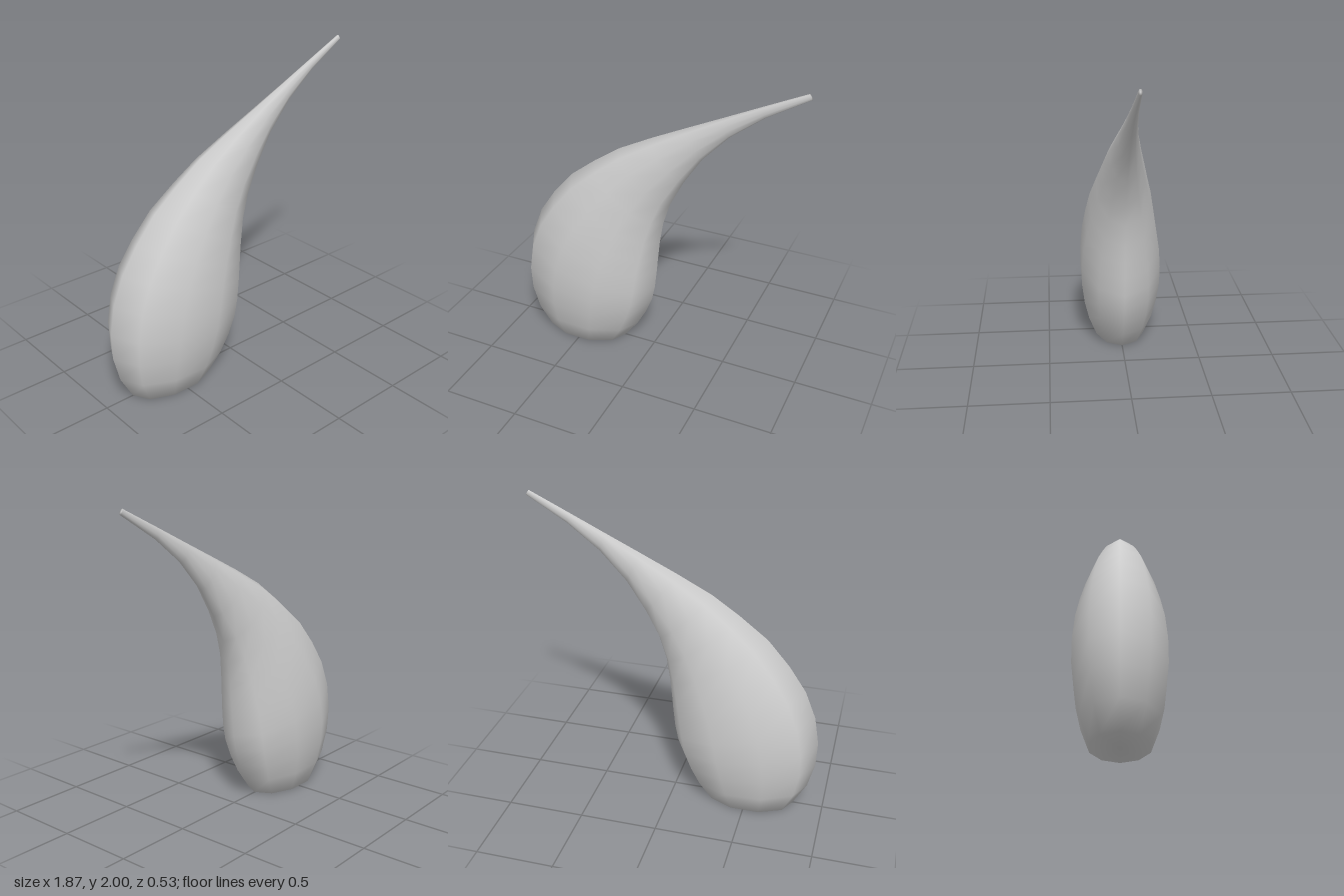
import * as THREE from 'three';

// Each ring: left edge x, y and right edge x, y in the middle plane
const RINGS = [
  [-0.805, 0, -0.22, 0], [-0.89, 0.155, -0.127, 0.127], [-0.932, 0.325, -0.064, 0.244],
  [-0.937, 0.493, -0.018, 0.36], [-0.905, 0.68, 0.003, 0.467], [-0.833, 0.86, 0.016, 0.59],
  [-0.725, 1.02, 0.025, 0.695], [-0.585, 1.183, 0.037, 0.82], [-0.41, 1.32, 0.06, 0.97],
  [-0.235, 1.44, 0.106, 1.12], [-0.016, 1.554, 0.194, 1.294], [0.21, 1.663, 0.31, 1.475],
  [0.435, 1.77, 0.476, 1.655], [0.66, 1.878, 0.68, 1.814], [0.917, 2, 0.936, 1.968],
];
const SIDES = 10;
const DEPTH_RATIO = 0.6; // front-to-back radius relative to the side-to-side radius

// Skins the tilted elliptical rings and closes both ends, with shared smooth normals
function loftGeometry() {
  const positions = [], index = [];
  for (const [lx, ly, rx, ry] of RINGS) {
    const cx = (lx + rx) / 2, cy = (ly + ry) / 2;
    const ux = (rx - lx) / 2, uy = (ry - ly) / 2;
    const depth = Math.hypot(ux, uy) * DEPTH_RATIO;
    for (let j = 0; j < SIDES; j++) {
      const a = (j / SIDES) * Math.PI * 2, c = Math.cos(a);
      positions.push(cx + ux * c, cy + uy * c, depth * Math.sin(a));
    }
  }
  const last = RINGS.length - 1;
  for (let i = 0; i < last; i++) {
    for (let j = 0; j < SIDES; j++) {
      const a = i * SIDES + j, b = i * SIDES + (j + 1) % SIDES;
      index.push(a, a + SIDES, b, b, a + SIDES, b + SIDES);
    }
  }
  // End caps as fans around a centre point
  for (const i of [0, last]) {
    const [lx, ly, rx, ry] = RINGS[i];
    const centre = positions.length / 3;
    positions.push((lx + rx) / 2, (ly + ry) / 2, 0);
    for (let j = 0; j < SIDES; j++) {
      const a = i * SIDES + j, b = i * SIDES + (j + 1) % SIDES;
      if (i === 0) index.push(centre, a, b);
      else index.push(centre, b, a);
    }
  }
  const geometry = new THREE.BufferGeometry();
  geometry.setAttribute('position', new THREE.Float32BufferAttribute(positions, 3));
  geometry.setIndex(index);
  geometry.computeVertexNormals();
  return geometry;
}

export function createModel() {
  const group = new THREE.Group();
  group.name = 'curvedTeardrop';
  const material = new THREE.MeshStandardMaterial({ color: 0xcccccc });
  material.name = 'light grey';
  const body = new THREE.Mesh(loftGeometry(), material);
  body.name = 'teardropBody';
  group.add(body);
  return group;
}
